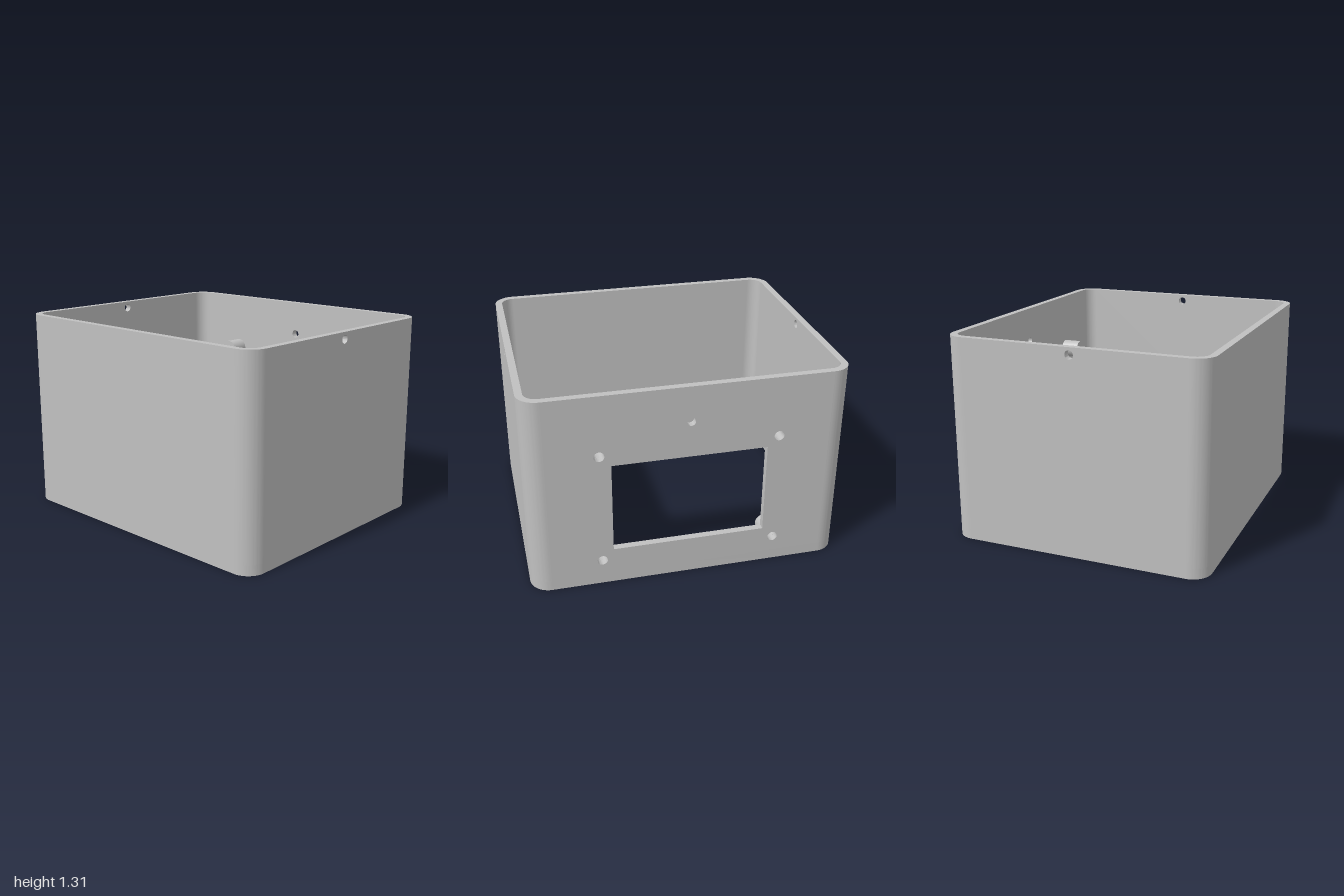
import * as THREE from 'three';
import { toCreasedNormals } from 'three/addons/utils/BufferGeometryUtils.js';

const W = 1, D = 0.845, H = 1.31;      // half width, half depth, height
const T = 0.045, R = 0.125;            // wall thickness, outer corner radius
const LIP = 0.065, LIP_T = 0.022;      // rebate height and rim thickness
const BOLT_X = 0.553, BOLT_Y = [0.172, 0.915], BOLT_R = 0.032;

function extrude(shape, depth, segments) {
  const g = new THREE.ExtrudeGeometry(shape, { depth, bevelEnabled: false, curveSegments: segments });
  return toCreasedNormals(g, 0.5);
}

function roundHole(x, y, r) {
  return new THREE.Path().absarc(x, y, r, 0, Math.PI * 2, true);
}

function rect(PathType, x0, y0, x1, y1) {
  return new PathType([[x0, y0], [x1, y0], [x1, y1], [x0, y1]].map(p => new THREE.Vector2(...p)));
}

// Rounded rectangle in plan, inset from the outer outline
function outline(PathType, inset) {
  const x = W - R, z = D - R, r = R - inset, q = Math.PI / 2;
  const p = new PathType();
  p.absarc(x, z, r, 0, q);
  p.absarc(-x, z, r, q, 2 * q);
  p.absarc(-x, -z, r, 2 * q, 3 * q);
  p.absarc(x, -z, r, 3 * q, 4 * q);
  p.closePath();
  return p;
}

// Flat wall standing above the rebate, with openings
function panel(length, holes = []) {
  const s = rect(THREE.Shape, -length / 2, LIP, length / 2, H);
  s.holes.push(...holes);
  return extrude(s, T, 24);
}

export function createModel() {
  const group = new THREE.Group();
  const grey = new THREE.MeshStandardMaterial({ color: 0xc0c0c0 });
  grey.name = 'grey';
  const add = (name, geometry, x = 0, y = 0, z = 0, turn = 0) => {
    const m = new THREE.Mesh(geometry, grey);
    m.name = name;
    m.position.set(x, y, z);
    m.rotation.y = turn;
    group.add(m);
  };

  // Front and back walls; the back has a window, bolt holes and a small hole
  const long = 2 * (W - R), short = 2 * (D - R);
  add('frontWall', panel(long), 0, 0, D - T);
  const backHoles = [rect(THREE.Path, -0.482, 0.245, 0.482, 0.845), roundHole(0, 1.08, 0.027)];
  for (const x of [-BOLT_X, BOLT_X])
    for (const y of BOLT_Y) backHoles.push(roundHole(x, y, BOLT_R));
  add('backWall', panel(long, backHoles), 0, 0, -D);

  // Side walls, each with one hole near the top
  const side = panel(short, [roundHole(0, 1.265, 0.027)]);
  add('leftWall', side, W - T, 0, 0, Math.PI / 2);
  add('rightWall', side, -W, 0, 0, Math.PI / 2);

  // Rounded corners
  const arc = new THREE.Shape();
  arc.absarc(0, 0, R, 0, Math.PI / 2, false);
  arc.absarc(0, 0, R - T, Math.PI / 2, 0, true);
  const corner = extrude(arc, H - LIP, 12).rotateX(-Math.PI / 2);
  [[1, -1], [-1, -1], [-1, 1], [1, 1]].forEach(([sx, sz], i) =>
    add('corner', corner, sx * (W - R), LIP, sz * (D - R), i * Math.PI / 2));

  // Thinner rim around the bottom rebate
  const rim = outline(THREE.Shape, 0);
  rim.holes.push(outline(THREE.Path, LIP_T));
  add('bottomRim', extrude(rim, LIP, 12).rotateX(-Math.PI / 2));

  // Blind screw bosses inside the back wall
  const profile = [[0, 0.08], [BOLT_R, 0.08], [BOLT_R, 0], [0.06, 0], [0.06, 0.122], [0, 0.122]];
  const boss = toCreasedNormals(
    new THREE.LatheGeometry(profile.map(p => new THREE.Vector2(...p)), 24), 0.5).rotateX(Math.PI / 2);
  for (const x of [-BOLT_X, BOLT_X])
    for (const y of BOLT_Y) add('screwBoss', boss, x, y, -D + T);

  return group;
}
